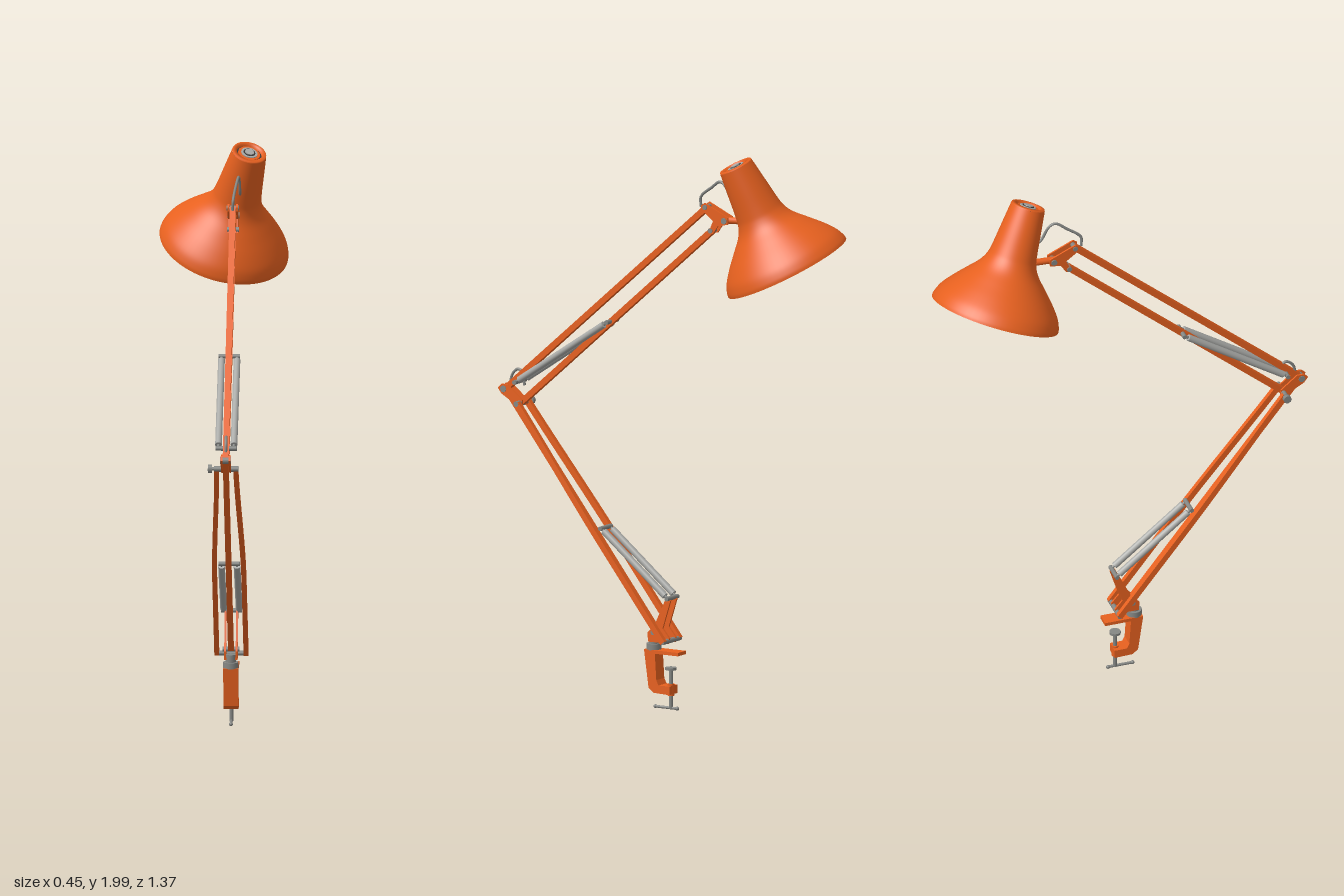
import * as THREE from 'three';

const mat = (name, color) => Object.assign(new THREE.MeshStandardMaterial({ color }), { name });
const V = (x, y, z) => new THREE.Vector3(x, y, z);
const CX = 0.04; // x of the arm's centre plane

export function createModel() {
  const lamp = new THREE.Group();
  lamp.name = 'deskLamp';
  const orange = mat('orangePaint', 0xe8611f);
  const metal = mat('metal', 0x858784);
  const spring = mat('springSteel', 0xa9aaa7);
  const lining = mat('shadeLining', 0xaaa8a5);
  const dark = mat('darkPlastic', 0x3c3a39);
  const bulbMat = mat('bulbGlass', 0xc0bfbc);

  const add = (name, geo, m, parent = lamp) => {
    const mesh = new THREE.Mesh(geo, m);
    mesh.name = name;
    parent.add(mesh);
    return mesh;
  };
  // Box beam between two points; bend(s) shifts it sideways along its length
  const beam = (name, a, b, w, h, m, bend) => {
    const len = a.distanceTo(b);
    const geo = new THREE.BoxGeometry(w, h, len, 1, 1, bend ? 20 : 1);
    if (bend) {
      const p = geo.attributes.position;
      for (let i = 0; i < p.count; i++) p.setX(i, p.getX(i) + bend(p.getZ(i) / len + 0.5));
      geo.computeVertexNormals();
    }
    const mesh = add(name, geo, m);
    mesh.position.copy(a).add(b).multiplyScalar(0.5);
    mesh.lookAt(b);
  };
  // Round rod between two points
  const rod = (name, a, b, r, m, sides = 14) => {
    const mesh = add(name, new THREE.CylinderGeometry(r, r, a.distanceTo(b), sides), m);
    mesh.position.copy(a).add(b).multiplyScalar(0.5);
    mesh.quaternion.setFromUnitVectors(V(0, 1, 0), b.clone().sub(a).normalize());
  };
  const pin = (name, y, z, half, r, m) => rod(name, V(CX - half, y, z), V(CX + half, y, z), r, m);
  // Plate cut from a [z, y] outline, centred on x
  const plate = (name, pts, x, thick, m) => {
    const shape = new THREE.Shape(pts.map(([z, y]) => new THREE.Vector2(-z, y)));
    const geo = new THREE.ExtrudeGeometry(shape, { depth: thick, bevelEnabled: false });
    geo.translate(0, 0, -thick / 2).rotateY(Math.PI / 2);
    add(name, geo, m).position.x = x;
  };
  const cable = (name, pts, r, m) =>
    add(name, new THREE.TubeGeometry(new THREE.CatmullRomCurve3(pts.map(p => V(...p))), 32, r, 8), m);

  // Table clamp
  plate('clampFrame', [[0.075, 0.215], [-0.065, 0.215], [-0.065, 0.203], [0.03, 0.203], [0.024, 0.11],
    [0.015, 0.092], [-0.03, 0.092], [-0.03, 0.062], [0.035, 0.064], [0.056, 0.08]], CX, 0.052, orange);
  rod('clampScrew', V(CX, 0.01, -0.02), V(CX, 0.15, -0.02), 0.007, metal);
  rod('clampPad', V(CX, 0.147, -0.02), V(CX, 0.156, -0.02), 0.02, metal, 24);
  rod('clampNut', V(CX, 0.056, -0.02), V(CX, 0.098, -0.02), 0.012, orange);
  rod('clampHandle', V(CX, 0.012, -0.046), V(CX, 0.012, 0.044), 0.005, metal);
  for (const z of [-0.046, 0.044]) {
    add('handleTip', new THREE.SphereGeometry(0.007, 12, 8), metal).position.set(CX, 0.012, z);
  }
  rod('swivelCollar', V(CX, 0.213, 0.05), V(CX, 0.235, 0.05), 0.027, metal, 24);
  rod('swivelPost', V(CX, 0.23, 0.05), V(CX, 0.262, 0.05), 0.018, metal, 24);

  // Base bracket with two cheek plates
  for (const s of [-1, 1]) {
    plate('bracketCheek', [[-0.015, 0.405], [-0.033, 0.398], [0.0, 0.295], [-0.028, 0.262], [-0.025, 0.243],
      [0.06, 0.243], [0.062, 0.275], [0.035, 0.3]], CX + s * 0.02, 0.007, orange);
  }
  add('bracketFloor', new THREE.BoxGeometry(0.046, 0.008, 0.08), orange).position.set(CX, 0.248, 0.02);
  pin('lowerBracketPin', 0.252, -0.02, 0.058, 0.009, metal);
  pin('upperBracketPin', 0.278, 0.037, 0.03, 0.009, metal);

  // Lower arm: one centre bar and two bars bowed in towards the elbow
  beam('lowerArmBar', V(CX, 0.278, 0.037), V(CX, 1.075, 0.657), 0.02, 0.02, orange);
  for (const s of [-1, 1]) {
    beam('lowerArmSideBar', V(CX, 0.25, -0.022), V(CX, 1.035, 0.594), 0.017, 0.021, orange,
      t => -s * (0.051 - 0.018 * THREE.MathUtils.smoothstep(t, 0.4, 1.05)));
  }

  // Elbow
  for (const s of [-1, 1]) {
    plate('elbowPlate', [[0.685, 1.08], [0.67, 1.094], [0.645, 1.094], [0.585, 1.045], [0.583, 1.025],
      [0.6, 1.02], [0.67, 1.06]], CX + s * 0.014, 0.006, orange);
  }
  pin('elbowRearPin', 1.077, 0.662, 0.019, 0.012, metal);
  pin('elbowPin', 1.033, 0.594, 0.042, 0.01, metal);
  rod('elbowKnobStem', V(-0.016, 1.033, 0.594), V(0.005, 1.033, 0.594), 0.006, metal);
  rod('elbowKnob', V(-0.024, 1.033, 0.594), V(-0.01, 1.033, 0.594), 0.015, metal, 8);
  cable('elbowCable', [[CX, 1.085, 0.645], [CX, 1.13, 0.635], [CX, 1.15, 0.612], [CX, 1.14, 0.592],
    [CX, 1.095, 0.585]], 0.005, metal);

  // Upper arm
  beam('upperArmTopBar', V(CX, 1.08, 0.657), V(CX, 1.802, -0.172), 0.021, 0.021, orange);
  beam('upperArmBottomBar', V(CX, 1.035, 0.594), V(CX, 1.722, -0.194), 0.021, 0.021, orange);

  // Paired tension springs with end pins
  const springs = [
    ['lowerSpring', [0.403, -0.024], [0.625, 0.25]],
    ['upperSpring', [1.108, 0.605], [1.358, 0.225]],
  ];
  for (const [name, [y0, z0], [y1, z1]] of springs) {
    for (const s of [-1, 1]) {
      const x = CX + s * 0.027, a = V(x, y0, z0), b = V(x, y1, z1);
      rod(name, a.clone().lerp(b, 0.04), a.clone().lerp(b, 0.96), 0.012, spring);
      rod(name + 'Hook', a, b, 0.005, metal);
    }
    pin(name + 'StartPin', y0, z0, 0.037, 0.008, metal);
    pin(name + 'EndPin', y1, z1, 0.037, 0.008, metal);
  }

  // Head link
  for (const s of [-1, 1]) {
    plate('headPlate', [[-0.155, 1.808], [-0.17, 1.818], [-0.265, 1.775], [-0.265, 1.75], [-0.225, 1.742],
      [-0.205, 1.712], [-0.185, 1.712], [-0.205, 1.758], [-0.155, 1.795]], CX + s * 0.015, 0.006, orange);
  }
  pin('headTopPin', 1.803, -0.172, 0.021, 0.009, metal);
  pin('headBottomPin', 1.722, -0.194, 0.021, 0.009, metal);
  rod('shadePivot', V(CX, 1.762, -0.235), V(CX, 1.766, -0.33), 0.012, orange);
  pin('shadePivotPin', 1.762, -0.25, 0.021, 0.011, metal);
  cable('headCable', [[CX, 1.8, -0.145], [0.042, 1.835, -0.145], [0.05, 1.875, -0.195], [0.058, 1.9, -0.235],
    [0.06, 1.888, -0.257], [0.062, 1.835, -0.288], [0.06, 1.815, -0.33]], 0.005, metal);

  // Shade, built upright from the rim and then tilted
  const head = new THREE.Group();
  head.name = 'shade';
  head.position.set(0, 1.61, -0.475);
  head.quaternion.setFromUnitVectors(V(0, 1, 0), V(0.232, 0.894, 0.382).normalize());
  lamp.add(head);
  const curve = new THREE.SplineCurve([[0.23, 0], [0.227, 0.016], [0.213, 0.046], [0.183, 0.085], [0.144, 0.128],
    [0.108, 0.168], [0.089, 0.203], [0.081, 0.24], [0.071, 0.32], [0.061, 0.4]]
    .map(p => new THREE.Vector2(...p)));
  const profile = curve.getPoints(45);
  add('shadeShell', new THREE.LatheGeometry(profile, 64), orange, head);
  const inner = profile.map(p => new THREE.Vector2(p.x - 0.005, p.y)).reverse();
  add('shadeLining', new THREE.LatheGeometry(inner, 64), lining, head);
  const rim = add('shadeRim', new THREE.RingGeometry(0.225, 0.23, 64), orange, head);
  rim.rotation.x = Math.PI / 2;

  // Shade cap with vent rings
  const disc = (name, r, y, h, m) =>
    (add(name, new THREE.CylinderGeometry(r, r, h, 40), m, head).position.y = y);
  const capEdge = [[0.061, 0.4], [0.059, 0.405], [0.046, 0.405], [0.044, 0.39]];
  add('capEdge', new THREE.LatheGeometry(capEdge.map(p => new THREE.Vector2(...p)), 48), orange, head);
  disc('capVent', 0.046, 0.39, 0.01, dark);
  disc('capDisc', 0.039, 0.394, 0.012, orange);
  disc('capRing', 0.029, 0.397, 0.012, spring);
  disc('capRecess', 0.021, 0.398, 0.012, dark);
  disc('capButton', 0.016, 0.4, 0.014, spring);

  // Bulb and socket
  add('bulb', new THREE.SphereGeometry(0.064, 32, 20), bulbMat, head).position.y = 0.115;
  disc('bulbSocket', 0.032, 0.27, 0.21, metal);
  return lamp;
}
